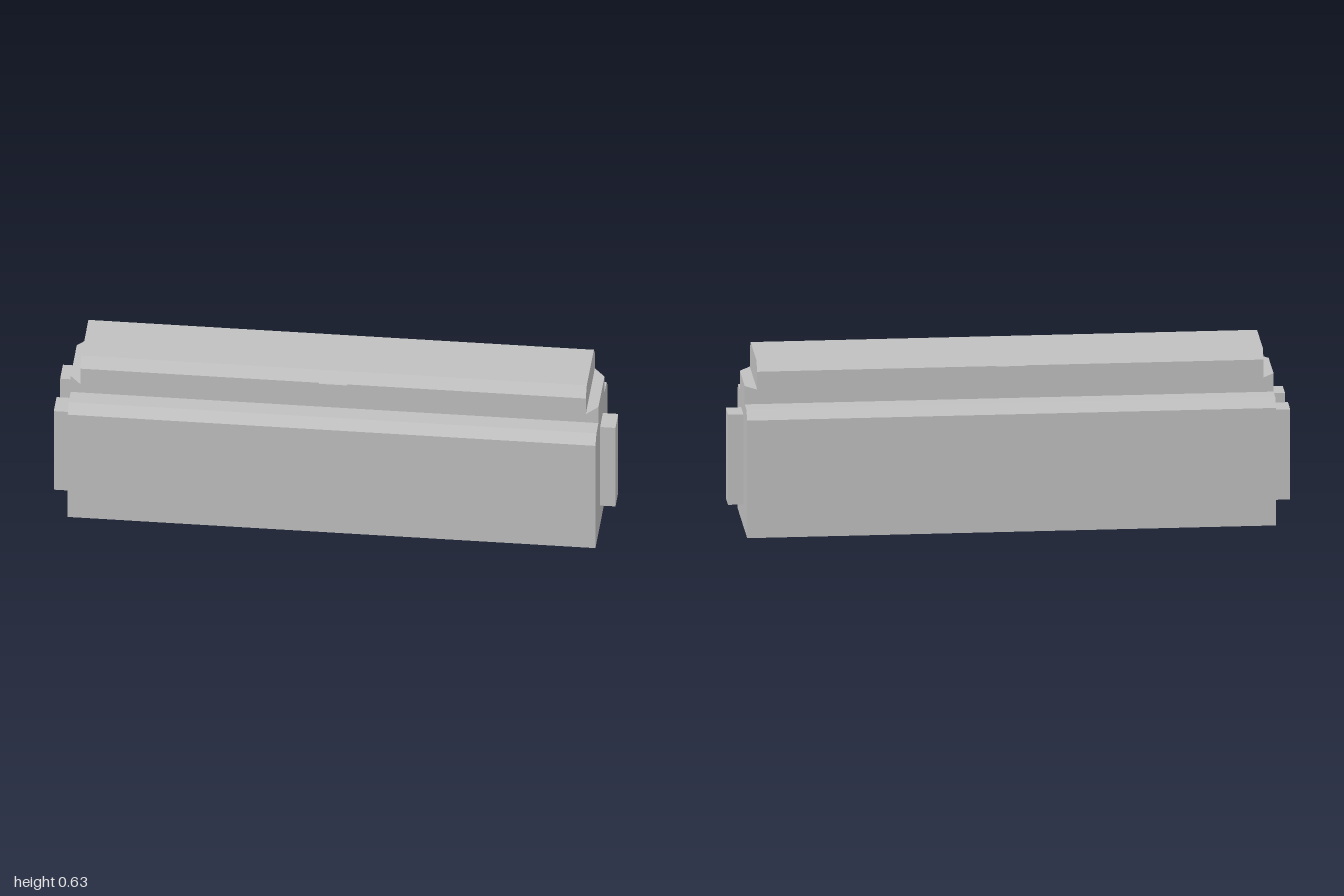
import * as THREE from 'three';

// Rectangular rings [half length, height, half depth] joined by flat walls; open below.
function loftRings(rings, capped) {
  const corners = [[1, 1], [1, -1], [-1, -1], [-1, 1]];
  const point = ([hx, y, hz], k) => [hx * corners[k % 4][0], y, hz * corners[k % 4][1]];
  const positions = [];
  const quad = (a, b, c, d) => positions.push(...a, ...b, ...c, ...a, ...c, ...d);
  for (let i = 0; i < rings.length - 1; i++) {
    const lower = rings[i], upper = rings[i + 1];
    for (let k = 0; k < 4; k++) {
      // a level step has no area at ends of equal length
      if (k % 2 === 0 && lower[0] === upper[0] && lower[1] === upper[1]) continue;
      quad(point(lower, k), point(lower, k + 1), point(upper, k + 1), point(upper, k));
    }
  }
  const top = rings[rings.length - 1];
  if (capped) quad(point(top, 0), point(top, 1), point(top, 2), point(top, 3));
  const geometry = new THREE.BufferGeometry();
  geometry.setAttribute('position', new THREE.Float32BufferAttribute(positions, 3));
  geometry.computeVertexNormals();
  return geometry;
}

export function createModel() {
  const model = new THREE.Group();
  model.name = 'box';
  const grey = new THREE.MeshStandardMaterial({ color: 0xc0c0c0, side: THREE.DoubleSide });
  grey.name = 'grey';

  const add = (name, geometry, x = 0, y = 0, z = 0) => {
    const mesh = new THREE.Mesh(geometry, grey);
    mesh.name = name;
    mesh.position.set(x, y, z);
    model.add(mesh);
  };

  // Hollow body with chamfered shoulders and a narrow neck
  add('body', loftRings([
    [0.945, 0, 0.2], [0.945, 0.435, 0.2], [0.945, 0.467, 0.167],
    [0.945, 0.467, 0.1], [0.945, 0.535, 0.1],
  ], false));

  // Lid: overhangs the neck along the sides, set back at the ends
  add('lid', loftRings([
    [0.945, 0.535, 0.1], [0.905, 0.535, 0.15],
    [0.905, 0.601, 0.15], [0.905, 0.635, 0.117],
  ], true));

  // Small latch plate in the middle of each long side
  for (const side of [1, -1]) {
    add('latch', new THREE.BoxGeometry(0.1, 0.066, 0.007), 0, 0.568, side * 0.1535);
  }

  // Upright end ribs: one on the left end, two on the right
  const rib = new THREE.BoxGeometry(0.055, 0.334, 0.092);
  add('leftRib', rib, 0.9725, 0.248, 0);
  for (const side of [1, -1]) add('rightRib', rib, -0.9725, 0.248, side * 0.106);

  return model;
}
